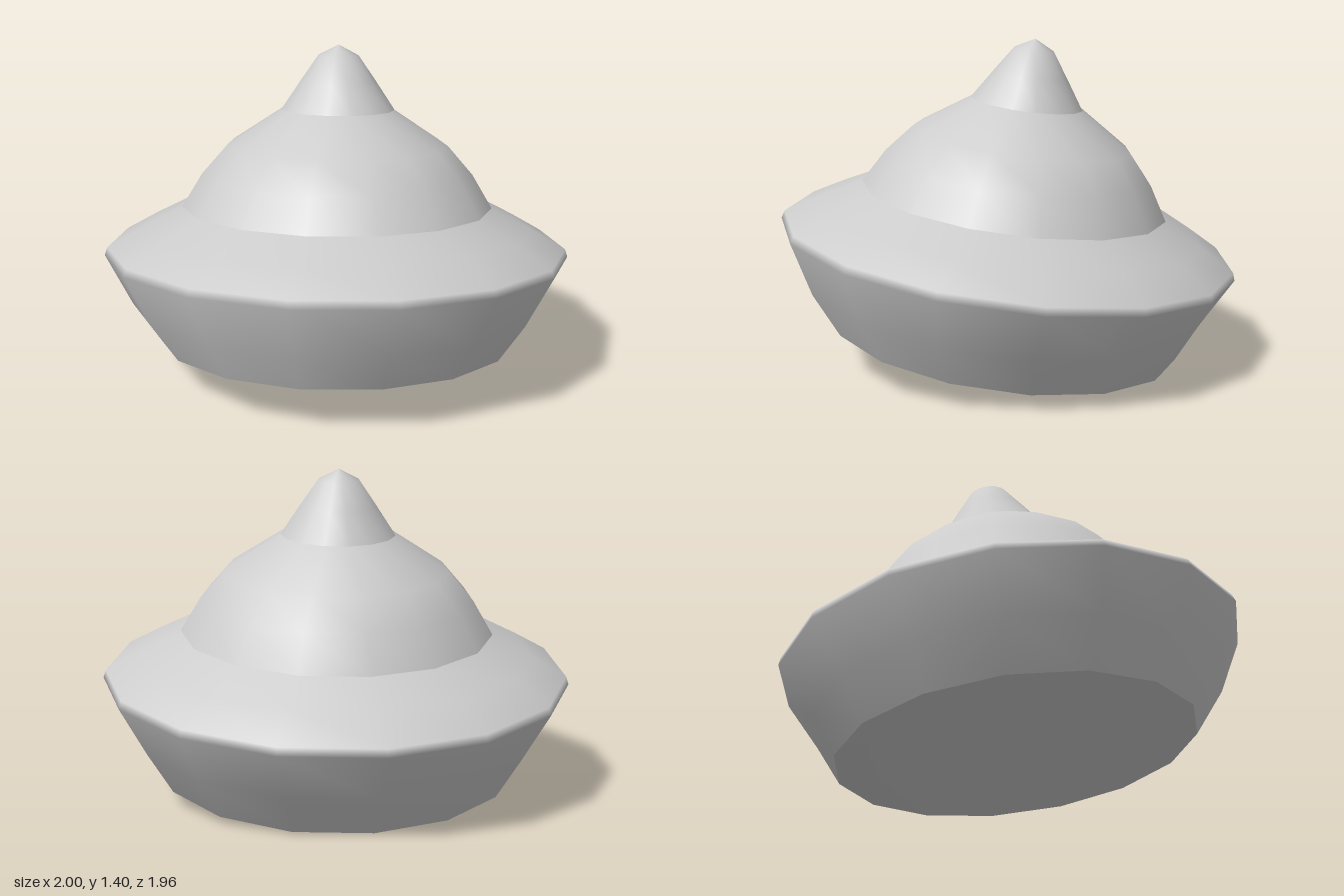
import * as THREE from 'three';

const SIDES = 15;
const TILT = -0.1326; // front edge raised

// One turned section, profile as [radius, height] from bottom to top
function turned(name, profile) {
  const points = profile.map(([r, h]) => new THREE.Vector2(r, h));
  const geometry = new THREE.LatheGeometry(points, SIDES, Math.PI / 2);
  geometry.scale(1, 1, 0.985);
  // The underside sits slightly further back than the body
  const pos = geometry.attributes.position;
  for (let i = 0; i < pos.count; i++) {
    if (pos.getY(i) < 0.1) pos.setZ(i, pos.getZ(i) - 0.03);
  }
  const mesh = new THREE.Mesh(geometry, new THREE.MeshStandardMaterial({ color: 0xcccccc }));
  mesh.name = name;
  return mesh;
}

export function createModel() {
  const group = new THREE.Group();
  group.name = 'tieredDome';

  const body = new THREE.Group();
  body.name = 'tiltedBody';
  body.add(
    // Nearly flat underside
    turned('base', [[0, 0.063], [0.6, 0.063], [0.78, 0.09]]),
    // Flared bowl, rounded rim and sloping brim
    turned('bowlAndBrim', [
      [0.78, 0.09], [0.893, 0.266], [1.011, 0.487],
      [1.0, 0.52], [0.85, 0.605], [0.675, 0.695],
    ]),
    // Middle tier
    turned('dome', [[0.675, 0.695], [0.588, 0.84], [0.48, 0.963], [0.246, 1.116]]),
    // Pointed top
    turned('peak', [[0.246, 1.116], [0.163, 1.24], [0.088, 1.348], [0, 1.394]]),
  );
  body.rotation.x = TILT;
  body.position.set(-0.011, 0.055 * 0.132, 0.055 * 0.991);
  group.add(body);
  return group;
}
